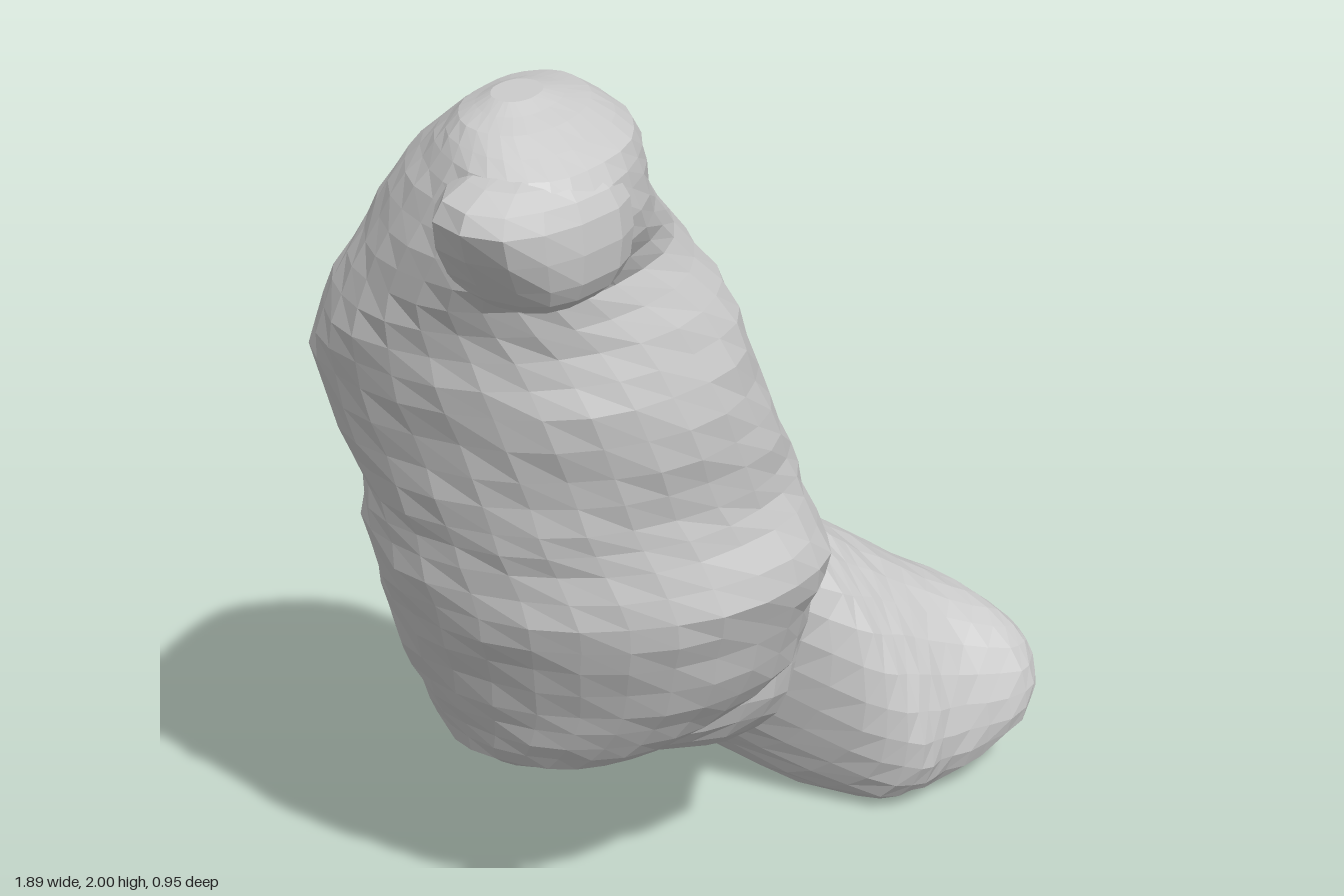
import * as THREE from 'three';

const SIDES = 28;

// Insert a smooth row halfway between each pair of rows
function refine(rows) {
  const at = i => rows[Math.min(Math.max(i, 0), rows.length - 1)];
  return rows.flatMap((row, i) => {
    if (i === rows.length - 1) return [row];
    const mid = row.map((b, k) => k === 0
      ? (b + at(i + 1)[0]) / 2
      : (9 * (b + at(i + 1)[k]) - at(i - 1)[k] - at(i + 2)[k]) / 16);
    return [row, mid];
  });
}

// Loft of skewed ovals; row = [s, uMin, uMax, vMin, vMax, skew], place maps (u, v, s) to xyz
function loft(name, rows, place, material) {
  const pos = [], index = [];
  const rings = refine(rows);
  const round = c => Math.sign(c) * Math.pow(Math.abs(c), 0.93);
  rings.forEach(([s, u0, u1, v0, v1, skew], i) => {
    for (let j = 0; j < SIDES; j++) {
      const t = (j / SIDES) * Math.PI * 2;
      // gentle lumps over the surface
      const lump = 1 + 0.01 * Math.sin(3 * t + i * 1.3) + 0.01 * Math.sin(7 * t - i * 2.1);
      const u = (u0 + u1) / 2 + (u1 - u0) / 2 * lump * round(Math.cos(t));
      const v = (v0 + v1) / 2 + (v1 - v0) / 2 * lump * round(Math.sin(t + skew));
      pos.push(...place(u, v, s));
    }
  });
  for (let i = 0; i < rings.length - 1; i++) {
    for (let j = 0; j < SIDES; j++) {
      const a = i * SIDES + j, b = i * SIDES + (j + 1) % SIDES;
      index.push(a, b, a + SIDES, b, b + SIDES, a + SIDES);
    }
  }
  // end caps
  const last = (rings.length - 1) * SIDES;
  const centre = r => place((r[1] + r[2]) / 2, (r[3] + r[4]) / 2, r[0]);
  const c0 = pos.length / 3;
  pos.push(...centre(rings[0]), ...centre(rings[rings.length - 1]));
  for (let j = 0; j < SIDES; j++) {
    const k = (j + 1) % SIDES;
    index.push(c0, k, j, c0 + 1, last + j, last + k);
  }
  const geometry = new THREE.BufferGeometry();
  geometry.setAttribute('position', new THREE.Float32BufferAttribute(pos, 3));
  geometry.setIndex(index);
  geometry.computeVertexNormals();
  const mesh = new THREE.Mesh(geometry, material);
  mesh.name = name;
  return mesh;
}

export function createModel() {
  const group = new THREE.Group();
  group.name = 'bentLump';
  const material = new THREE.MeshStandardMaterial({ color: 0xcccccc, flatShading: true });

  // Upright trunk: y, back z, front z, x min, x max, skew
  group.add(loft('trunk', [
    [0.41, -0.24, 0.04, -0.43, -0.08, 0.0],
    [0.46, -0.32, 0.19, -0.50, 0.06, 0.1],
    [0.54, -0.37, 0.30, -0.53, 0.13, 0.15],
    [0.64, -0.39, 0.38, -0.57, 0.16, 0.2],
    [0.78, -0.38, 0.43, -0.63, 0.15, 0.25],
    [0.90, -0.38, 0.47, -0.67, 0.14, 0.25],
    [1.02, -0.37, 0.42, -0.70, 0.13, 0.25],
    [1.12, -0.37, 0.40, -0.72, 0.10, 0.2],
    [1.25, -0.41, 0.40, -0.75, 0.05, 0.15],
    [1.40, -0.45, 0.39, -0.79, 0.00, 0.1],
    [1.52, -0.40, 0.34, -0.81, -0.02, 0.03],
    [1.64, -0.33, 0.30, -0.83, -0.08, -0.18],
    [1.75, -0.27, 0.36, -0.84, -0.20, -0.35],
    [1.85, -0.19, 0.38, -0.84, -0.25, -0.45],
    [1.92, -0.10, 0.35, -0.81, -0.30, -0.45],
    [1.97, -0.02, 0.24, -0.74, -0.38, -0.4],
    [2.00, 0.06, 0.16, -0.65, -0.52, -0.3],
  ], (z, x, y) => [x, y, z], material));

  // Lower limb, swinging back and then forward: x, y min, y max, back z, front z, skew
  group.add(loft('limb', [
    [-0.38, 0.44, 0.60, -0.22, 0.08, 0.0],
    [-0.25, 0.39, 0.75, -0.31, 0.22, 0.0],
    [-0.10, 0.35, 0.86, -0.37, 0.32, 0.0],
    [0.05, 0.29, 0.86, -0.39, 0.32, 0.1],
    [0.17, 0.20, 0.83, -0.45, 0.24, 0.25],
    [0.29, 0.15, 0.81, -0.48, 0.18, 0.2],
    [0.38, 0.05, 0.77, -0.47, 0.29, -0.2],
    [0.45, 0.01, 0.74, -0.43, 0.37, -0.45],
    [0.52, 0.00, 0.70, -0.31, 0.39, -0.55],
    [0.60, 0.00, 0.63, -0.26, 0.40, -0.55],
    [0.70, 0.02, 0.55, -0.22, 0.43, -0.5],
    [0.80, 0.07, 0.47, -0.18, 0.47, -0.4],
    [0.87, 0.12, 0.42, -0.12, 0.45, -0.3],
    [0.92, 0.17, 0.36, 0.02, 0.40, -0.2],
    [0.945, 0.22, 0.31, 0.12, 0.32, 0.0],
  ], (y, z, x) => [x, y, z], material));

  // Snout: a blunt block at the head's front, drawn out to a point sideways
  const snout = new THREE.SphereGeometry(1, 14, 10);
  const p = snout.attributes.position;
  const blunt = c => Math.sign(c) * Math.pow(Math.abs(c), 0.75);
  for (let i = 0; i < p.count; i++) {
    const x = p.getX(i), y = p.getY(i);
    const pull = Math.max(0, -x - 0.4) * Math.max(0, y + 0.4);
    p.setXYZ(i,
      -0.69 + 0.17 * blunt(x) - 0.24 * pull,
      1.79 + 0.14 * blunt(y) + 0.04 * pull,
      0.24 + 0.16 * blunt(p.getZ(i)) + 0.10 * pull);
  }
  snout.computeVertexNormals();
  const snoutMesh = new THREE.Mesh(snout, material);
  snoutMesh.name = 'snout';
  group.add(snoutMesh);

  return group;
}
